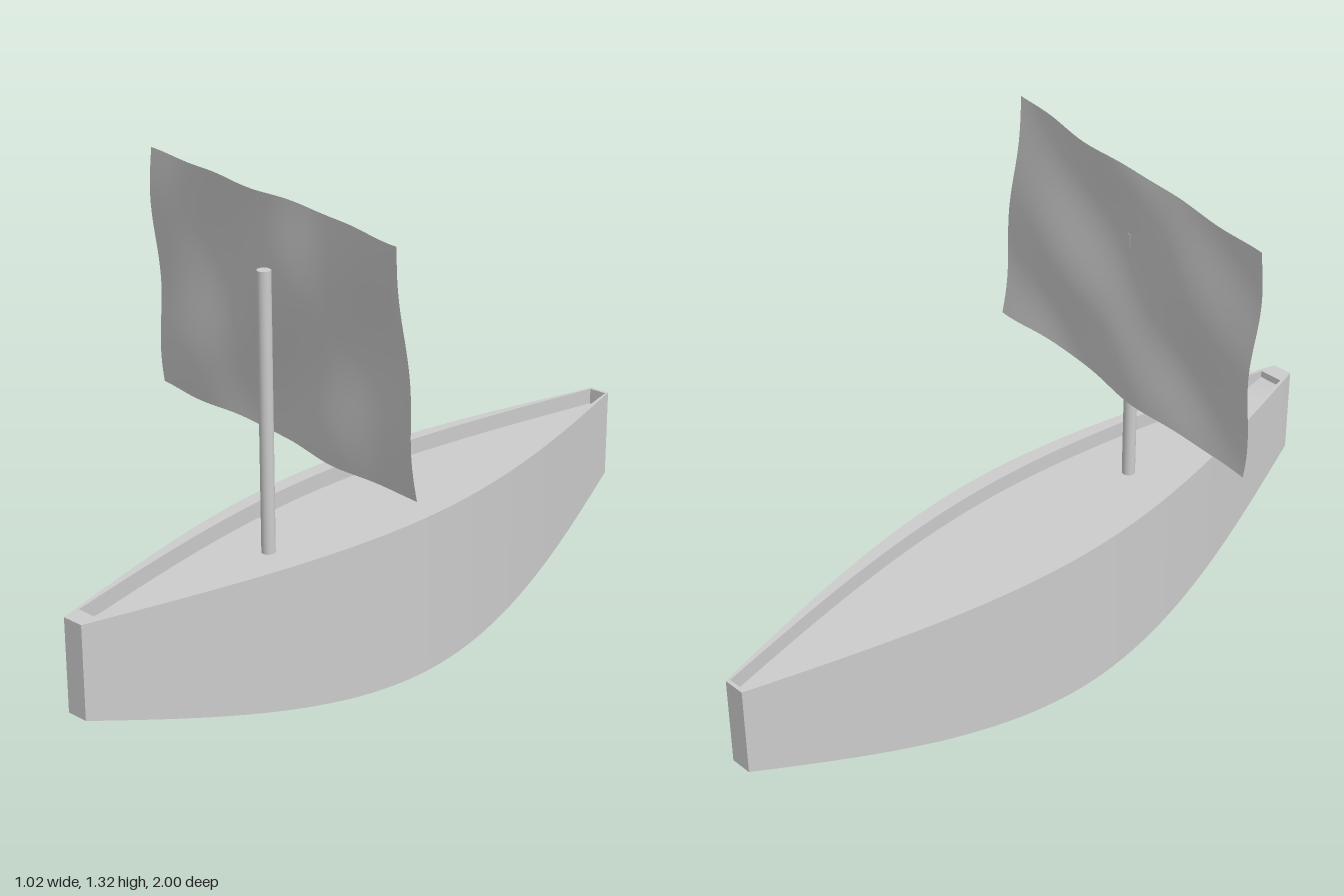
import * as THREE from 'three';

const TOP = 0.445, FLOOR = 0.4, N = 48;
// Hull curve: 0 amidships, 1 at the ends
const curve = (z) => 1.5 * z * z - 0.5 * Math.abs(z) ** 3;
const halfWidth = (z) => 0.03 + 0.19 * (1 - curve(z));
const keel = (z) => 0.005 + 0.19 * curve(z);
const inner = (z) => 0.8 * halfWidth(z);

const material = () => new THREE.MeshStandardMaterial({ color: 0xcccccc, side: THREE.DoubleSide });

// Surface between two edges a(t) and b(t), each returning [x, y, z]
function strip(a, b, steps = N) {
  const pos = [], idx = [];
  for (let i = 0; i <= steps; i++) pos.push(...a(i / steps), ...b(i / steps));
  for (let i = 0; i < steps; i++) {
    const k = i * 2;
    idx.push(k, k + 1, k + 2, k + 1, k + 3, k + 2);
  }
  const g = new THREE.BufferGeometry();
  g.setAttribute('position', new THREE.Float32BufferAttribute(pos, 3));
  g.setIndex(idx);
  g.computeVertexNormals();
  return g;
}

export function createModel() {
  const model = new THREE.Group();
  const add = (name, geometry, parent = model) => {
    const mesh = new THREE.Mesh(geometry, material());
    mesh.name = name;
    parent.add(mesh);
    return mesh;
  };

  const hull = new THREE.Group();
  hull.name = 'hull';
  model.add(hull);

  const full = (t) => t * 2 - 1;
  const BACK = -0.99, FRONT = 0.95;
  const well = (t) => BACK + (FRONT - BACK) * t;
  // Floor of the well, with a small ramp up to the bow
  const floorY = (z) => (z > 0.9 ? FLOOR + (z - 0.9) * 0.5 : FLOOR);

  // Paired sides: outer planking, rim and inner wall
  for (const s of [1, -1]) {
    const edge = (w, y, zOf) => (t) => {
      const z = zOf(t);
      return [s * w(z), y(z), z];
    };
    const order = (a, b) => (s > 0 ? strip(a, b) : strip(b, a));
    const top = () => TOP;
    add('hullSide', order(edge(halfWidth, top, full), edge(halfWidth, keel, full)), hull);
    add('rim', order(edge(inner, top, full), edge(halfWidth, top, full)), hull);
    add('innerWall', order(edge(inner, floorY, well), edge(inner, top, well)), hull);
  }

  // Surfaces that run from side to side
  const across = (w, y, zOf, flip) => {
    const side = (s) => (t) => {
      const z = zOf(t);
      return [s * w(z), y(z), z];
    };
    return flip ? strip(side(1), side(-1)) : strip(side(-1), side(1));
  };
  add('bottom', across(halfWidth, keel, full, true), hull);
  add('deck', across(inner, floorY, well, false), hull);

  // End panels, their caps and the end walls of the well
  for (const e of [1, -1]) {
    const panel = (w, z, y0, y1, flip) => {
      const side = (s) => (t) => [s * w, y0 + (y1 - y0) * t, z];
      return flip ? strip(side(1), side(-1), 1) : strip(side(-1), side(1), 1);
    };
    const z = e > 0 ? FRONT : BACK;
    add(e > 0 ? 'stem' : 'stern', panel(0.03, e, keel(1), TOP, e > 0 ? false : true), hull)
      .geometry.computeVertexNormals();
    add('wellEnd', panel(inner(z), z, floorY(z), TOP, e > 0), hull);
    const zs = [Math.min(z, e), Math.max(z, e)];
    add('endCap', across(inner, () => TOP, (t) => zs[0] + (zs[1] - zs[0]) * t, false), hull);
  }

  // Mast
  const mast = add('mast', new THREE.CylinderGeometry(0.018, 0.018, 1.14 - FLOOR, 24));
  mast.position.set(0, (1.14 + FLOOR) / 2, 0.36);

  // Sail: a twisted sheet with soft billows and slightly uneven edges
  const sail = new THREE.PlaneGeometry(1, 0.635, 50, 32);
  const p = sail.attributes.position;
  const lerp = THREE.MathUtils.lerp;
  for (let i = 0; i < p.count; i++) {
    const x = p.getX(i), y = p.getY(i);
    const u = x + 0.5, v = y / 0.635 + 0.5;
    const lower = lerp(0.232, 0.375, u), upper = lerp(0.25, 0.435, u);
    const billow = 0.008 * Math.sin(11 * x + 5 * y + 0.6) + 0.007 * Math.sin(8 * x - 13 * y + 2);
    p.setXYZ(
      i,
      x - 0.003 + 0.007 * Math.sin(15 * y + 2) - 0.008 * (v - 0.5),
      1.0075 + y + 0.002 * Math.sin(23 * x),
      lerp(lower, upper, v) + billow * (0.5 + 0.5 * Math.min(1, 4 * u * (1 - u)))
    );
  }
  sail.computeVertexNormals();
  add('sail', sail);

  return model;
}
